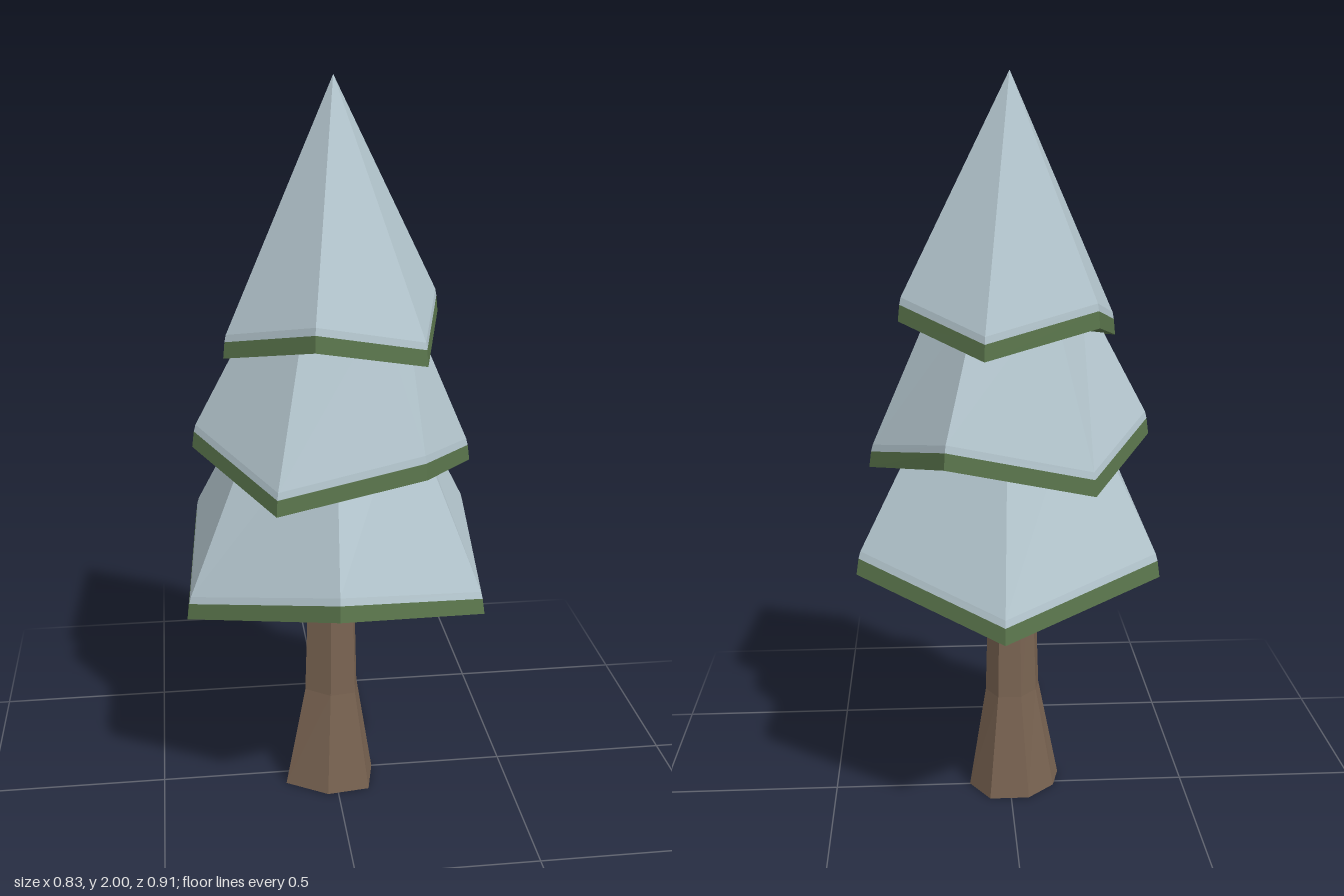
import * as THREE from 'three';

const snow = new THREE.MeshStandardMaterial({ color: 0xb4c6ce, flatShading: true });
const needles = new THREE.MeshStandardMaterial({ color: 0x5a754c, flatShading: true });
const bark = new THREE.MeshStandardMaterial({ color: 0x7a6452, flatShading: true });
const cutWood = new THREE.MeshStandardMaterial({ color: 0x8a664c, flatShading: true });

// Faceted skin through rings of equal point count, listed from the bottom centre outwards and up
function loft(name, rings, material) {
  const pos = [];
  const tri = (...pts) => pts.forEach((p) => pos.push(p[0], p[1], p[2]));
  const n = rings[0].length;
  for (let r = 0; r < rings.length - 1; r++) {
    const a = rings[r], b = rings[r + 1];
    for (let i = 0; i < n; i++) {
      const j = (i + 1) % n;
      tri(a[i], b[i], a[j]);
      tri(b[i], b[j], a[j]);
    }
  }
  const geo = new THREE.BufferGeometry();
  geo.setAttribute('position', new THREE.Float32BufferAttribute(pos, 3));
  geo.computeVertexNormals();
  const mesh = new THREE.Mesh(geo, material);
  mesh.name = name;
  return mesh;
}

// Hexagon whose corners alternate between y (even) and y + zig (odd)
function hexRing(radius, y, zig, turn) {
  return Array.from({ length: 6 }, (_, i) => {
    const a = THREE.MathUtils.degToRad(turn + i * 60);
    return [Math.cos(a) * radius, y + (i % 2) * zig, Math.sin(a) * radius];
  });
}

// One tier: green rim and underside with a snow cover above; the first corner is a low one
function tier(name, { radius, y, zig, turn, topRadius, topY }) {
  const group = new THREE.Group();
  group.name = name;
  const rim = hexRing(radius * 0.985, y + 0.043, zig, turn);
  group.add(
    loft('branches', [
      hexRing(0, y + zig / 2, 0, turn),
      hexRing(radius, y, zig, turn),
      rim,
    ], needles),
    loft('snowCover', [
      rim,
      hexRing(radius * 0.972, y + 0.062, zig, turn),
      hexRing(topRadius, topY, 0, turn),
      hexRing(0, topY, 0, turn),
    ], snow),
  );
  return group;
}

export function createModel() {
  const tree = new THREE.Group();
  tree.name = 'snowyTree';

  // Trunk: uneven flared foot narrowing to the crown
  const foot = [[0.115, 0], [0.09, 0.115], [-0.03, 0.13], [-0.145, 0.06],
    [-0.125, -0.02], [-0.05, -0.09], [0.06, -0.09]];
  const trunkRing = (sx, sz, y) => foot.map(([x, z]) => [x * sx, y, z * sz]);
  const inner = trunkRing(0.84, 0.84, 0.008);
  tree.add(
    loft('trunk', [inner, trunkRing(1, 1, 0), trunkRing(0.59, 0.68, 0.3), trunkRing(0.49, 0.58, 0.72)], bark),
    loft('trunkCutEnd', [trunkRing(0, 0, 0.008), inner], cutWood),
  );

  // Three tiers, each turned against the one below
  tree.add(
    tier('bottomTier', { radius: 0.457, y: 0.625, zig: 0.1, turn: 34.6, topRadius: 0.21, topY: 1.2 }),
    tier('middleTier', { radius: 0.381, y: 0.965, zig: 0.078, turn: -1.5, topRadius: 0.19, topY: 1.44 }),
    tier('topTier', { radius: 0.304, y: 1.305, zig: 0.068, turn: 45, topRadius: 0, topY: 2 }),
  );
  return tree;
}
